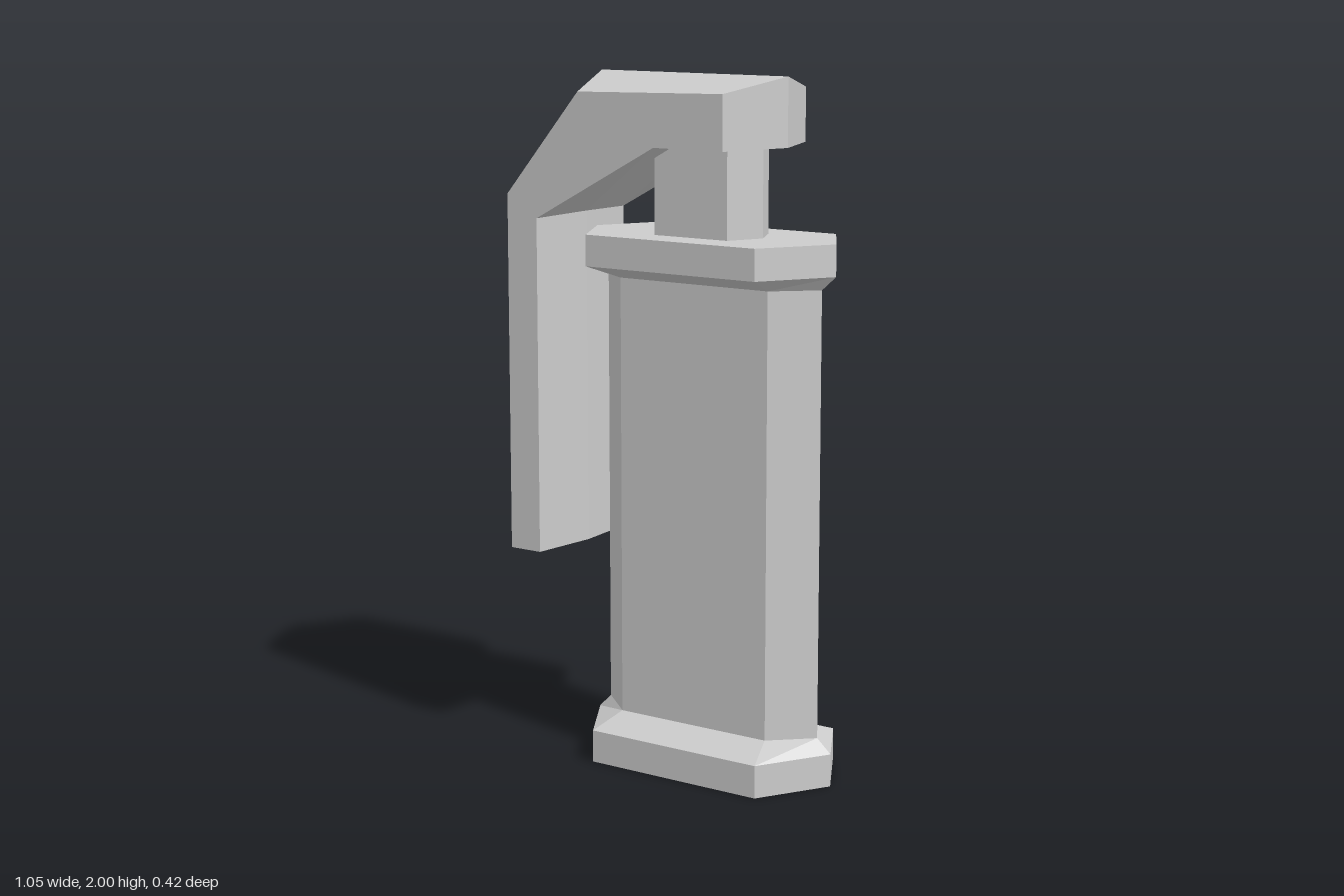
import * as THREE from 'three';

const material = new THREE.MeshStandardMaterial({ color: 0xcccccc, flatShading: true });

// Skin counter-clockwise rings stacked along z and cap both ends.
function loft(rings) {
  const n = rings[0].points.length;
  const positions = [], index = [];
  for (const { points, z } of rings) for (const [x, y] of points) positions.push(x, y, z);
  for (let i = 0; i < rings.length - 1; i++) {
    for (let j = 0; j < n; j++) {
      const a = i * n + j, b = i * n + (j + 1) % n;
      index.push(a, b, b + n, a, b + n, a + n);
    }
  }
  const cap = (ring) => THREE.ShapeUtils.triangulateShape(
    ring.points.map(([x, y]) => new THREE.Vector2(x, y)), []);
  const last = (rings.length - 1) * n;
  for (const [a, b, c] of cap(rings[0])) index.push(a, c, b);
  for (const [a, b, c] of cap(rings[rings.length - 1])) index.push(last + a, last + b, last + c);
  const indexed = new THREE.BufferGeometry();
  indexed.setAttribute('position', new THREE.Float32BufferAttribute(positions, 3));
  indexed.setIndex(index);
  const geometry = indexed.toNonIndexed();
  geometry.computeVertexNormals();
  return geometry;
}

// Long hexagon: pointed ends at x0 and x1, flat sides from s0 to s1.
const hexagon = ([x0, s0, s1, x1, d]) =>
  [[x0, 0], [s0, -d], [s1, -d], [x1, 0], [s1, d], [s0, d]];

// Upright hexagonal part from [plan, height] levels.
const column = (levels) =>
  loft(levels.map(([plan, z]) => ({ points: hexagon(plan), z }))).rotateX(-Math.PI / 2);

export function createModel() {
  const model = new THREE.Group();
  const add = (name, geometry) => {
    const mesh = new THREE.Mesh(geometry, material);
    mesh.name = name;
    model.add(mesh);
  };

  const body = [-0.25, -0.13, 0.37, 0.48, 0.105];
  const foot = [-0.29, -0.16, 0.405, 0.525, 0.21];
  const rim = [-0.29, -0.175, 0.395, 0.525, 0.21];
  const stem = [-0.065, -0.01, 0.235, 0.285, 0.105];

  add('base', column([[foot, 0], [foot, 0.095], [body, 0.135]]));
  add('body', column([[body, 0.135], [body, 1.42]]));
  add('collar', column([[body, 1.42], [rim, 1.46], [rim, 1.55]]));
  add('neck', column([[stem, 1.55], [stem, 1.84]]));

  // Bent lever: side outline, and a fuller outline along the middle ridge.
  const side = [[-0.455, 0.605], [-0.35, 0.605], [-0.35, 1.585], [0.06, 1.805],
    [0.29, 1.805], [0.29, 1.96], [-0.2, 1.95], [-0.455, 1.65]];
  const ridge = [[-0.53, 0.605], [-0.33, 0.605], [-0.33, 1.59], [0.06, 1.805],
    [0.365, 1.805], [0.365, 2], [-0.27, 2], [-0.53, 1.69]];
  add('lever', loft([
    { points: side, z: -0.21 }, { points: ridge, z: 0 }, { points: side, z: 0.21 },
  ]));

  return model;
}
